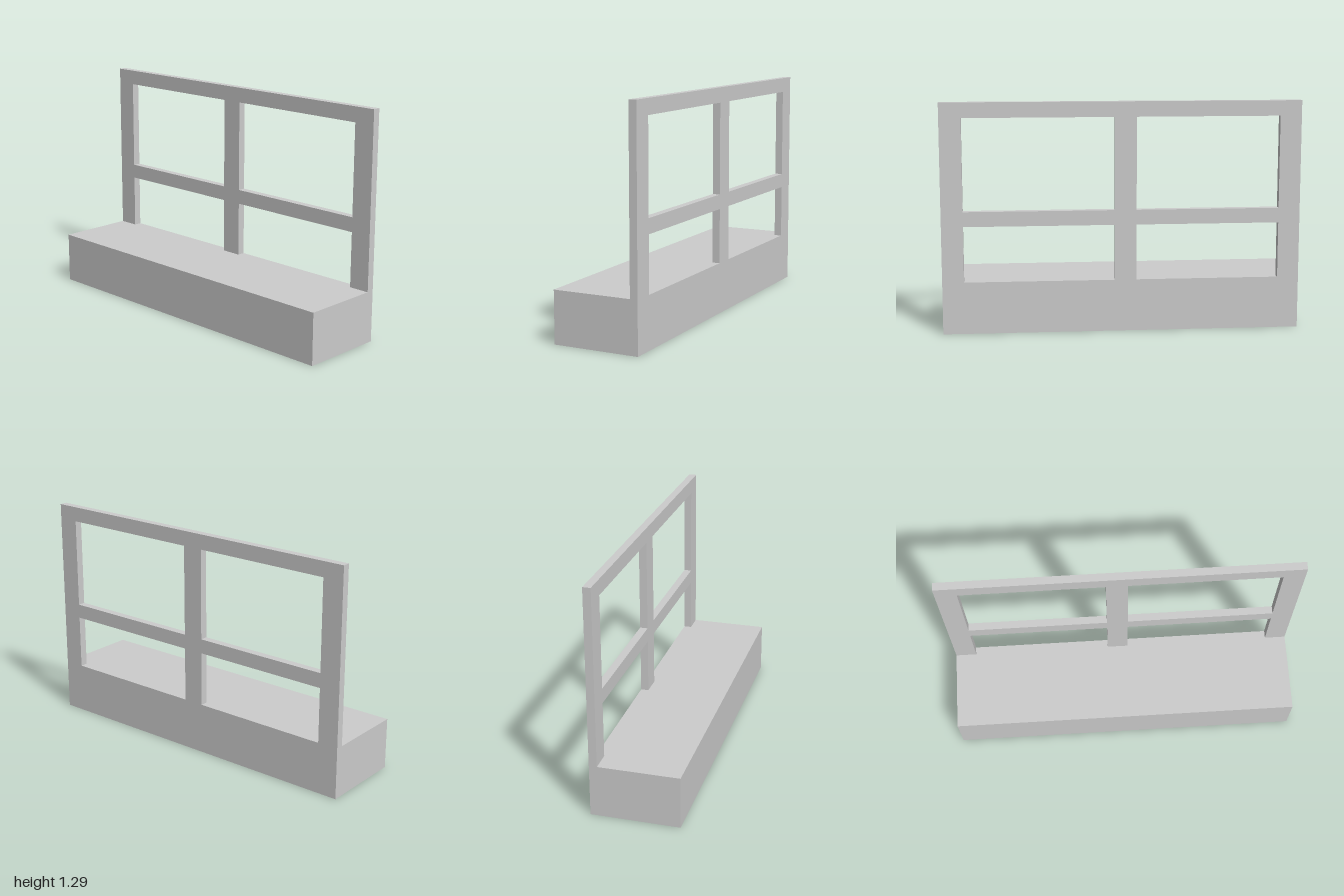
import * as THREE from 'three';

export function createModel() {
  const model = new THREE.Group();
  const material = new THREE.MeshStandardMaterial({ color: 0xcccccc, flatShading: true });

  // Box given by its extents along each axis
  function block(name, [x0, x1], [y0, y1], [z0, z1]) {
    const mesh = new THREE.Mesh(new THREE.BoxGeometry(x1 - x0, y1 - y0, z1 - z0), material);
    mesh.position.set((x0 + x1) / 2, (y0 + y1) / 2, (z0 + z1) / 2);
    mesh.name = name;
    return mesh;
  }

  const half = 0.247, sill = 0.293, top = 1.29;
  const thickness = [0.203, half];

  // Solid base, running under the frame
  model.add(block('base', [-half, half], [0, sill], [-1, 1]));

  // Window frame standing along the left edge
  const frame = new THREE.Group();
  frame.name = 'windowFrame';
  model.add(frame);

  // Upright posts, the middle one slightly off centre
  const posts = [[-1, -0.88], [-0.08, 0.04], [0.88, 1]];
  const postNames = ['backPost', 'middlePost', 'frontPost'];
  posts.forEach((z, i) => frame.add(block(postNames[i], thickness, [sill, top], z)));

  // Top and middle rails between neighbouring posts
  for (let i = 0; i < 2; i++) {
    const gap = [posts[i][1], posts[i + 1][0]];
    frame.add(block('topRail', thickness, [1.205, top], gap));
    frame.add(block('middleRail', thickness, [0.605, 0.688], gap));
  }

  return model;
}
